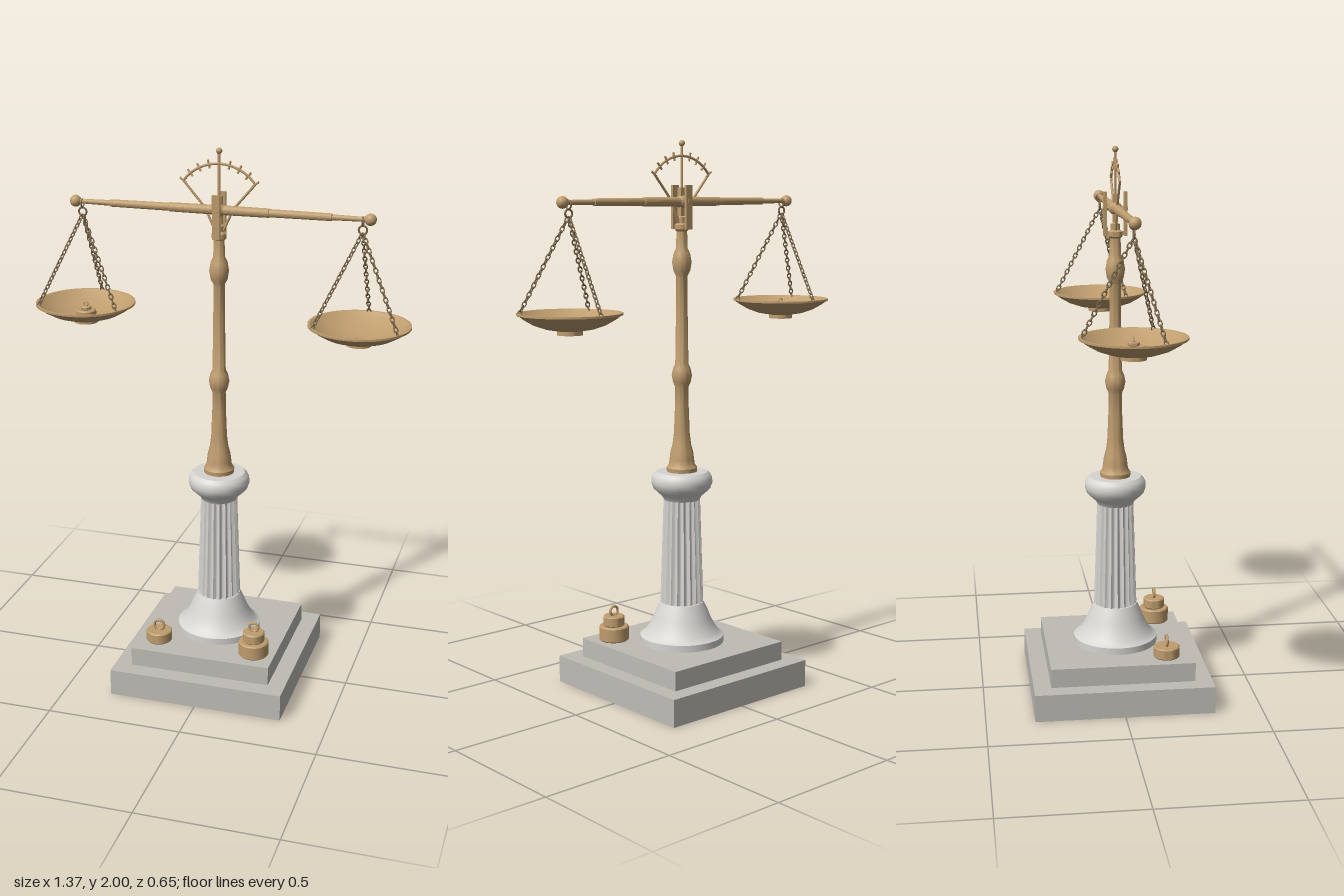
import * as THREE from 'three';
import { toCreasedNormals } from 'three/addons/utils/BufferGeometryUtils.js';

const material = (name, color) => {
  const m = new THREE.MeshStandardMaterial({ color });
  m.name = name;
  return m;
};

export function createModel() {
  const stone = material('grey stone', 0xbfbcb5);
  const marble = material('pale marble', 0xd6d5d1);
  const brass = material('brass', 0xbf9d6e);
  const darkBrass = material('dark brass', 0x806c4e);
  const model = new THREE.Group();
  model.name = 'balanceScale';

  const add = (parent, name, geometry, mat, x = 0, y = 0, z = 0) => {
    const mesh = new THREE.Mesh(geometry, mat);
    mesh.name = name;
    mesh.position.set(x, y, z);
    parent.add(mesh);
    return mesh;
  };
  const group = (name, x = 0, y = 0, z = 0) => {
    const g = new THREE.Group();
    g.name = name;
    g.position.set(x, y, z);
    model.add(g);
    return g;
  };
  // Turned part: profile is [radius, height] pairs, bottom to top
  const lathe = (profile, segments = 48) => toCreasedNormals(
    new THREE.LatheGeometry(profile.map(([r, y]) => new THREE.Vector2(r, y)), segments), 0.6);
  // Straight round rod between two points
  const rod = (parent, name, a, b, r, mat) => {
    const d = new THREE.Vector3().subVectors(b, a);
    const mesh = add(parent, name, new THREE.CylinderGeometry(r, r, d.length(), 8), mat);
    mesh.position.copy(a).addScaledVector(d, 0.5);
    mesh.quaternion.setFromUnitVectors(new THREE.Vector3(0, 1, 0), d.normalize());
  };
  const vec = (x, y, z = 0) => new THREE.Vector3(x, y, z);

  // Stepped plinth
  add(model, 'lowerPlinth', new THREE.BoxGeometry(0.65, 0.1, 0.65), stone, 0, 0.05);
  add(model, 'upperPlinth', new THREE.BoxGeometry(0.525, 0.07, 0.525), stone, 0, 0.135);

  // Column foot and capital
  add(model, 'columnFoot', lathe([[0, 0.17], [0.155, 0.17], [0.155, 0.195], [0.146, 0.2],
    [0.134, 0.212], [0.119, 0.235], [0.106, 0.262], [0.093, 0.295], [0.08, 0.32], [0, 0.32]]), marble);
  add(model, 'capital', lathe([[0, 0.705], [0.065, 0.705], [0.073, 0.72], [0.09, 0.735], [0.105, 0.75],
    [0.112, 0.77], [0.111, 0.788], [0.105, 0.8], [0.094, 0.81], [0, 0.81]]), marble);

  // Fluted shaft: scalloped cylinder
  const flutes = 20;
  const shaft = new THREE.CylinderGeometry(0.067, 0.08, 0.4, flutes * 8, 1, true);
  const p = shaft.attributes.position;
  for (let i = 0; i < p.count; i++) {
    const a = Math.atan2(p.getX(i), p.getZ(i));
    const k = 1 - 0.12 * Math.abs(Math.sin(a * flutes / 2));
    p.setX(i, p.getX(i) * k);
    p.setZ(i, p.getZ(i) * k);
  }
  add(model, 'flutedShaft', toCreasedNormals(shaft, 0.6), marble, 0, 0.515);

  // Turned brass pole
  add(model, 'pole', lathe([[0, 0.81], [0.055, 0.81], [0.056, 0.825], [0.047, 0.838], [0.045, 0.855],
    [0.042, 0.88], [0.034, 0.91], [0.029, 0.95], [0.025, 1.05], [0.024, 1.12], [0.032, 1.138],
    [0.037, 1.163], [0.032, 1.188], [0.024, 1.205], [0.021, 1.4], [0.02, 1.52], [0.03, 1.54],
    [0.035, 1.57], [0.03, 1.6], [0.021, 1.62], [0.019, 1.68], [0.026, 1.687], [0.026, 1.703],
    [0.016, 1.71], [0.016, 1.73], [0, 1.735]], 32), brass);

  // Pivot: side plates, axle and bearing
  const pivot = group('pivot', 0, 1.785);
  for (const s of [-1, 1]) {
    add(pivot, 'pivotPlate', new THREE.BoxGeometry(0.028, 0.155, 0.011), brass, 0, -0.02, s * 0.036);
    add(pivot, 'pivotBrace', new THREE.BoxGeometry(0.016, 0.012, 0.036), brass, 0, -0.088, s * 0.018);
  }
  const axle = add(pivot, 'axle', new THREE.CylinderGeometry(0.008, 0.008, 0.09, 16), brass);
  axle.rotation.x = Math.PI / 2;
  add(pivot, 'pivotBall', new THREE.SphereGeometry(0.024, 20, 14), brass);
  add(pivot, 'pivotPost', new THREE.BoxGeometry(0.024, 0.1, 0.018), brass, 0, 0);

  // Beam with end balls
  const beam = add(model, 'beam', lathe([[0, -0.53], [0.008, -0.53], [0.01, -0.4], [0.013, -0.398],
    [0.014, -0.18], [0.016, -0.178], [0.017, 0], [0.016, 0.178], [0.014, 0.18], [0.013, 0.398],
    [0.01, 0.4], [0.008, 0.53], [0, 0.53]], 20), brass, 0, 1.785);
  beam.rotation.z = Math.PI / 2;

  // Graduated arc with arms, ticks and needle
  const dial = group('dial', 0, 1.785);
  const R = 0.16, span = 0.93;
  const arc = add(dial, 'dialArc', new THREE.TorusGeometry(R, 0.0045, 8, 40, span * 2), brass);
  arc.rotation.z = Math.PI / 2 - span;
  for (let i = 0; i < 9; i++) {
    const a = (i / 4 - 1) * span;
    const at = r => vec(Math.sin(a) * r, Math.cos(a) * r);
    rod(dial, 'dialTick', at(R - 0.014), at(R + 0.016), 0.0038, brass);
  }
  for (const s of [-1, 1]) {
    const bend = vec(s * 0.05, 0.005);
    rod(dial, 'dialArm', vec(s * R * Math.sin(span), R * Math.cos(span)), bend, 0.0045, brass);
    rod(dial, 'dialArm', bend, vec(s * 0.012, -0.08), 0.0045, brass);
  }
  rod(dial, 'needle', vec(0, 0.02), vec(0, 0.2), 0.005, brass);
  add(dial, 'needleTip', new THREE.SphereGeometry(0.011, 16, 12), brass, 0, 0.204);

  // Weights: stacked discs with a lifting ring, tiers are [radius, height]
  const weight = (name, x, y, z, tiers, ring) => {
    const g = group(name, x, y, z);
    let top = 0;
    for (const [r, h] of tiers) {
      const b = Math.min(0.004, h * 0.2);
      add(g, 'weightDisc', lathe([[0, top], [r - b, top], [r, top + b], [r, top + h - b],
        [r - b, top + h], [0, top + h]], 32), brass);
      top += h;
    }
    add(g, 'weightRing', new THREE.TorusGeometry(ring, ring * 0.27, 10, 24), brass, 0, top + ring, 0);
  };
  weight('smallWeight', -0.185, 0.17, 0.167, [[0.048, 0.042]], 0.019);
  weight('largeWeight', 0.184, 0.17, 0.173, [[0.055, 0.055], [0.04, 0.038]], 0.017);
  weight('panWeight', -0.505, 1.358, 0, [[0.037, 0.03], [0.02, 0.012]], 0.008);

  // Chain of alternating links
  const link = new THREE.TorusGeometry(0.0068, 0.0023, 6, 10);
  link.scale(1, 1.55, 1);
  const chain = (parent, a, b) => {
    const d = vec(0, 0).subVectors(b, a);
    const n = Math.round(d.length() / 0.0175);
    const q = new THREE.Quaternion().setFromUnitVectors(vec(0, 1), d.clone().normalize());
    for (let i = 0; i <= n; i++) {
      const m = add(parent, 'chainLink', link, darkBrass);
      m.position.copy(a).addScaledVector(d, i / n);
      m.quaternion.copy(q);
      m.rotateY((i % 2) * Math.PI / 2);
    }
  };

  // Hanging pans on both ends of the beam
  const pan = lathe([[0, 1.342], [0.044, 1.342], [0.044, 1.356], [0.085, 1.363], [0.125, 1.377],
    [0.158, 1.396], [0.175, 1.409], [0.18, 1.41], [0.18, 1.417], [0.172, 1.417], [0.154, 1.402],
    [0.122, 1.384], [0.084, 1.37], [0.045, 1.362], [0.022, 1.36], [0.02, 1.351], [0, 1.351]], 56);
  for (const s of [-1, 1]) {
    add(model, 'beamEndBall', new THREE.SphereGeometry(0.021, 20, 14), brass, s * 0.53, 1.785);
    const g = group(s > 0 ? 'leftPan' : 'rightPan', s * 0.505);
    add(g, 'pan', pan, brass);
    const loop = add(g, 'beamLoop', new THREE.TorusGeometry(0.014, 0.003, 8, 20), darkBrass, 0, 1.778);
    loop.rotation.y = Math.PI / 2;
    add(g, 'hangingRing', new THREE.TorusGeometry(0.0145, 0.0035, 8, 24), darkBrass, 0, 1.748);
    for (let i = 0; i < 3; i++) {
      const a = Math.PI + i * Math.PI * 2 / 3;
      const at = (r, y) => vec(Math.sin(a) * r, y, Math.cos(a) * r);
      chain(g, at(0.006, 1.728), at(0.169, 1.418));
    }
  }
  return model;
}
